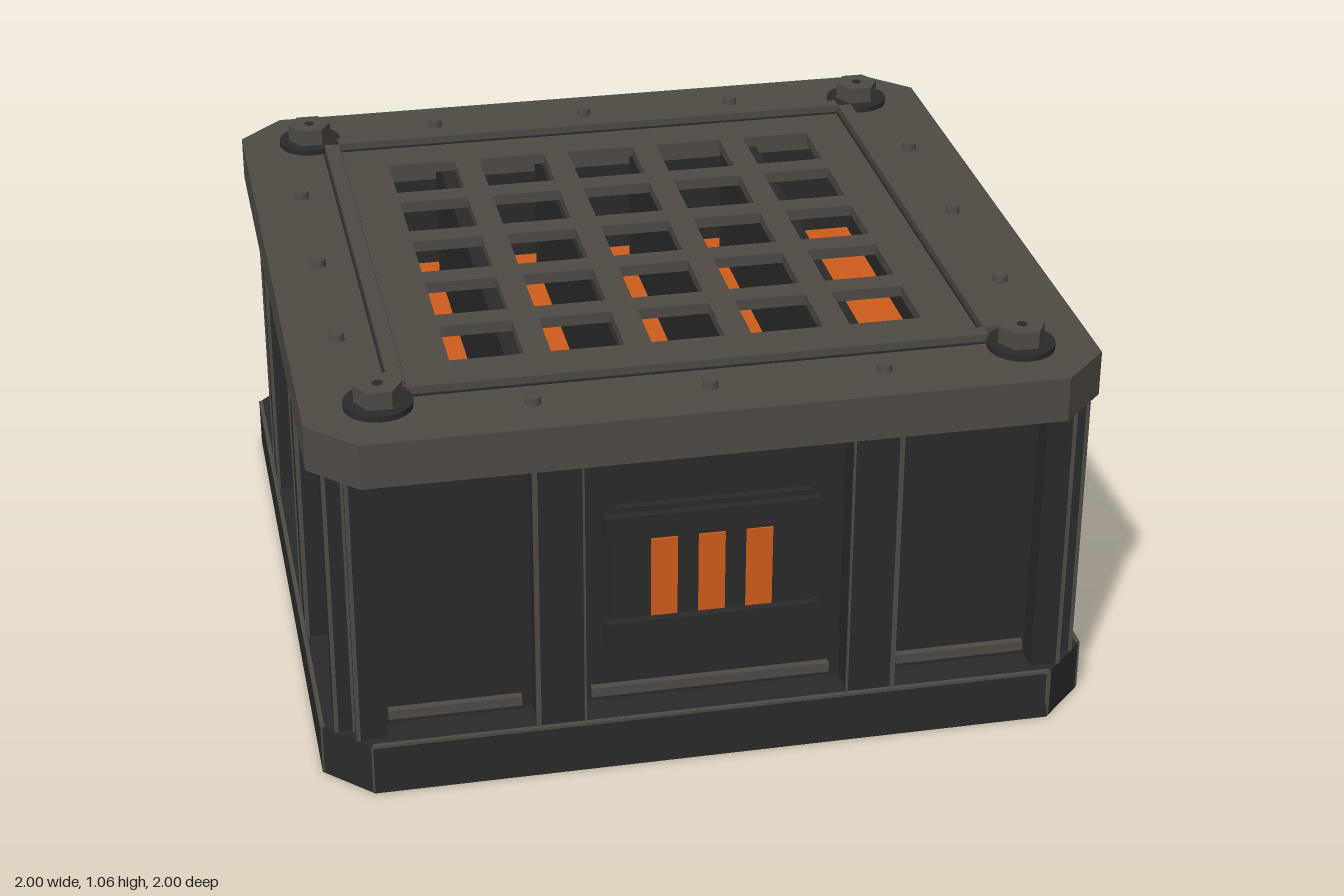
import * as THREE from 'three';

const mat = (name, color) => Object.assign(new THREE.MeshStandardMaterial({ color }), { name });

export function createModel() {
  const root = new THREE.Group();
  root.name = 'ventedCrate';
  const lidMetal = mat('warm grey metal', 0x4f4a44);
  const dark = mat('charcoal metal', 0x2a2a2a);
  const glow = mat('orange glow', 0xd05c1c);

  const add = (parent, name, geo, material, x = 0, y = 0, z = 0) => {
    const m = new THREE.Mesh(geo, material);
    m.name = name;
    m.position.set(x, y, z);
    parent.add(m);
    return m;
  };
  const box = (parent, name, material, x0, x1, y0, y1, z0, z1) =>
    add(parent, name, new THREE.BoxGeometry(x1 - x0, y1 - y0, z1 - z0), material,
      (x0 + x1) / 2, (y0 + y1) / 2, (z0 + z1) / 2);

  // Square with cut corners, half size h and corner cut c
  const octPoints = (h, c) => [
    [h - c, -h], [h, c - h], [h, h - c], [h - c, h],
    [c - h, h], [-h, h - c], [-h, c - h], [c - h, -h],
  ].map(([x, y]) => new THREE.Vector2(x, y));
  const square = (x, y, h) => new THREE.Path([
    [x - h, y - h], [x - h, y + h], [x + h, y + h], [x + h, y - h],
  ].map((p) => new THREE.Vector2(...p)));
  // Extrude a plan outline upward from y0 to y1
  const slab = (parent, name, material, points, holes, y0, y1) => {
    const s = new THREE.Shape(points);
    s.holes.push(...holes);
    const g = new THREE.ExtrudeGeometry(s, { depth: y1 - y0, bevelEnabled: false });
    g.rotateX(-Math.PI / 2);
    return add(parent, name, g, material, 0, y0, 0);
  };

  // Base and hollow body
  slab(root, 'base', dark, octPoints(1, 0.12), [], 0, 0.14);
  slab(root, 'bodyWalls', dark, octPoints(0.9, 0.05), [square(0, 0, 0.8)], 0.14, 0.88);

  // Lid with a 5 x 5 grate
  const cells = [];
  for (let i = -2; i <= 2; i++)
    for (let j = -2; j <= 2; j++) cells.push(square(i * 0.257, j * 0.257, 0.094));
  slab(root, 'lidGrate', lidMetal, octPoints(1, 0.12), cells, 0.97, 1);
  slab(root, 'lidRim', lidMetal, octPoints(1, 0.12), [square(0, 0, 0.76)], 0.88, 0.97);
  slab(root, 'frameSeam', dark, octPoints(0.78, 0.01), [square(0, 0, 0.73)], 1, 1.004);

  // Glowing core under the grate, divided by fins
  box(root, 'glowPlate', glow, -0.79, 0.79, 0.58, 0.6, -0.79, 0.79);
  for (const s of [-1, 1]) for (const [x, w] of [[0.42, 0.04], [0.14, 0.032]])
    box(root, 'fin', dark, s * x - w, s * x + w, 0.6, 0.969, -0.72, 0.72);

  // Corner bolts
  for (const x of [-0.81, 0.81]) for (const z of [-0.81, 0.81]) {
    const bolt = new THREE.Group();
    bolt.name = 'cornerBolt';
    bolt.position.set(x, 1, z);
    root.add(bolt);
    add(bolt, 'washer', new THREE.CylinderGeometry(0.086, 0.086, 0.016, 32), dark, 0, 0.008, 0);
    const hexGeo = new THREE.CylinderGeometry(0.06, 0.06, 0.046, 6).toNonIndexed();
    hexGeo.computeVertexNormals();
    hexGeo.rotateY(Math.PI / 2);
    add(bolt, 'hexHead', hexGeo, lidMetal, 0, 0.039, 0);
    add(bolt, 'boltCentre', new THREE.CylinderGeometry(0.013, 0.013, 0.002, 12), dark, 0, 0.063, 0);
  }

  // The four sides share pillars, ledges, edge trim and rivets
  for (let k = 0; k < 4; k++) {
    const side = new THREE.Group();
    side.name = 'side';
    side.rotation.y = k * Math.PI / 2;
    root.add(side);
    for (const s of [-1, 1]) {
      const span = (name, material, a, b, y0, y1, z0, z1) =>
        box(side, name, material, Math.min(s * a, s * b), Math.max(s * a, s * b), y0, y1, z0, z1);
      span('pillar', dark, 0.34, 0.46, 0.14, 0.88, 0.89, 0.99);
      span('pillarTrim', lidMetal, 0.453, 0.465, 0.14, 0.88, 0.983, 0.994);
      span('pillarInnerTrim', lidMetal, 0.337, 0.342, 0.14, 0.88, 0.985, 0.994);
      span('sideLedge', lidMetal, 0.49, 0.83, 0.162, 0.188, 0.89, 0.92);
      span('baseCornerTrim', lidMetal, 0.873, 0.885, 0.005, 0.14, 0.988, 1);
    }
    box(side, 'middleLedge', lidMetal, -0.31, 0.31, 0.162, 0.188, 0.89, 0.92);
    box(side, 'baseTopTrim', lidMetal, -0.88, 0.88, 0.135, 0.143, 0.99, 1.001);
    box(side, 'frameBar', lidMetal, -0.735, 0.735, 1, 1.024, 0.735, 0.775);
    for (const x of [-0.44, 0, 0.44])
      add(side, 'rivet', new THREE.CylinderGeometry(0.018, 0.02, 0.02, 16), lidMetal, x, 1.01, 0.87);

    // Corner post with a square vertical notch and light edges
    const outline = [
      [0.84, 0.85], [0.84, 0.965], [0.915, 0.965], [0.915, 0.915],
      [0.965, 0.915], [0.965, 0.84], [0.85, 0.84],
    ].reverse().map(([a, b]) => new THREE.Vector2(a, b));
    slab(side, 'cornerPost', dark, outline, [], 0.14, 0.88);
    for (const [x, z] of [[0.912, 0.962], [0.917, 0.917], [0.962, 0.912]])
      box(side, 'cornerTrim', lidMetal, x - 0.005, x + 0.005, 0.14, 0.88, z - 0.005, z + 0.005);
  }

  // Front vent with three glowing slots
  const vent = new THREE.Group();
  vent.name = 'frontVent';
  root.add(vent);
  box(vent, 'ventPlate', dark, -0.26, 0.26, 0.33, 0.7, 0.89, 0.908);
  box(vent, 'ventUpperBar', dark, -0.275, 0.275, 0.623, 0.688, 0.89, 0.93);
  box(vent, 'ventLowerBar', dark, -0.275, 0.275, 0.315, 0.382, 0.89, 0.93);
  box(vent, 'ventHood', dark, -0.25, 0.25, 0.7, 0.71, 0.89, 0.92);
  for (const x of [-0.122, 0, 0.122])
    box(vent, 'ventSlot', glow, x - 0.034, x + 0.034, 0.385, 0.608, 0.906, 0.913);
  return root;
}
